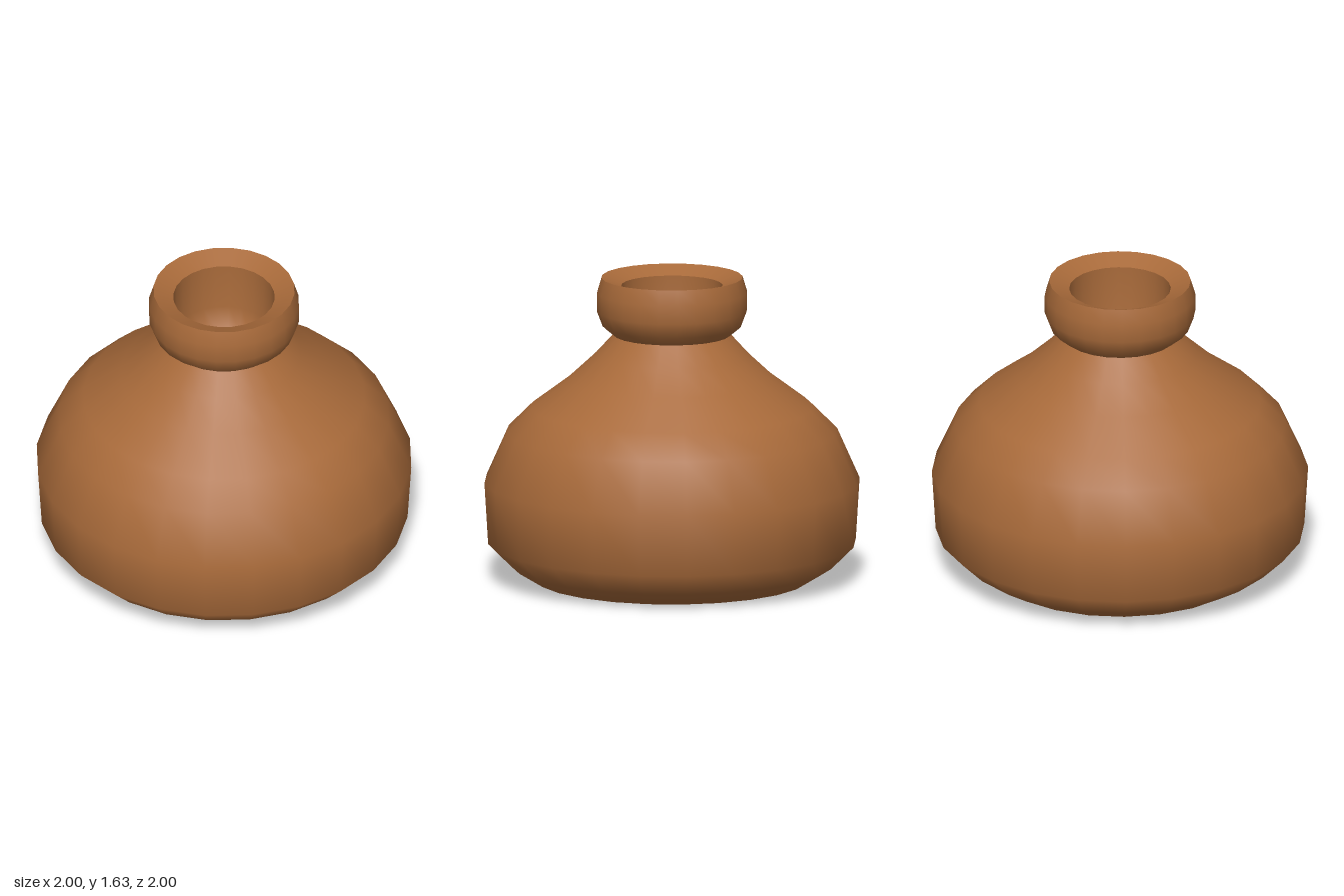
import * as THREE from 'three';

export function createModel() {
  const pot = new THREE.Group();
  pot.name = 'pot';
  const clay = new THREE.MeshStandardMaterial({ color: 0xa86a3a });

  // Each part is a turned profile of [radius, height]; seams between parts stay sharp
  const turn = (name, profile) => {
    const points = profile.map(([r, y]) => new THREE.Vector2(r, y));
    const mesh = new THREE.Mesh(new THREE.LatheGeometry(points, 24), clay);
    mesh.name = name;
    pot.add(mesh);
  };

  // Flat base, bulging belly and sloping shoulder
  turn('body', [
    [0, 0], [0.73, 0], [0.86, 0.08], [0.98, 0.2], [1, 0.53], [0.88, 0.8],
    [0.75, 0.93], [0.55, 1.08], [0.41, 1.21], [0.31, 1.32],
  ]);

  // Rounded collar around the mouth
  turn('collar', [[0.31, 1.32], [0.37, 1.37], [0.4, 1.45], [0.4, 1.55], [0.376, 1.63]]);

  // Rim dipping towards the opening
  turn('rim', [[0.376, 1.63], [0.27, 1.585]]);

  // Hollow inside the neck, closed by a rounded floor
  turn('mouthHollow', [[0.27, 1.585], [0.268, 1.32], [0.23, 1.2], [0.13, 1.12], [0, 1.09]]);

  return pot;
}
